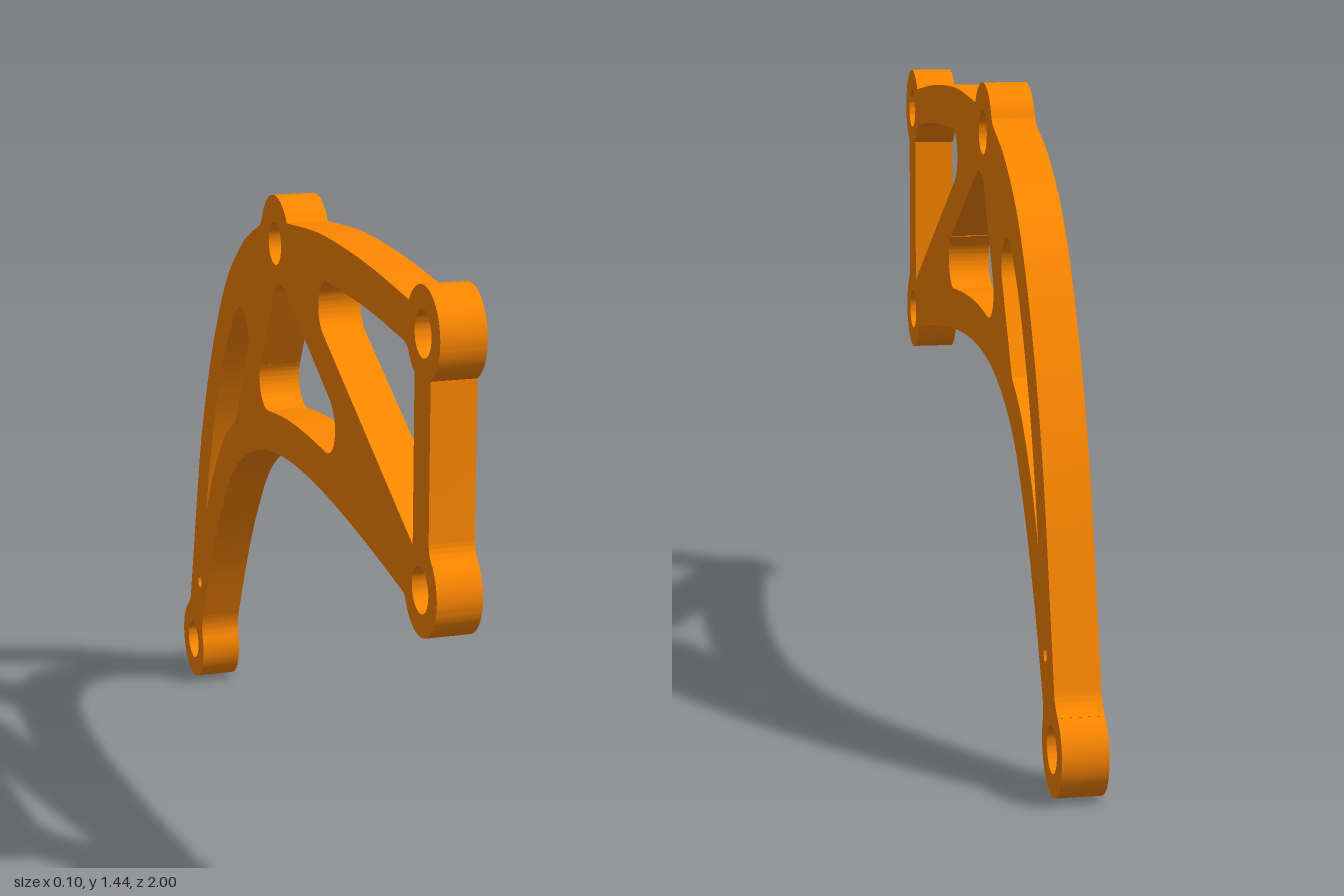
import * as THREE from 'three';
import { toCreasedNormals } from 'three/addons/utils/BufferGeometryUtils.js';

const THICKNESS = 0.1;
const SEGMENTS = 20;

// Profile plane: first coordinate runs towards the back (-z), second is height
const bosses = {
  frontTop: { c: [-0.9, 1.326], r: 0.1 },
  frontBottom: { c: [-0.9, 0.788], r: 0.1 },
  crown: { c: [0.12, 1.33], r: 0.114 },
  foot: { c: [0.9, 0.1], r: 0.1 },
};

// Arc around a centre, from the direction of one point to that of another
function arc(path, { c, r }, from, to, clockwise = true) {
  const angle = (p) => Math.atan2(p[1] - c[1], p[0] - c[0]);
  path.absarc(c[0], c[1], r, angle(from), angle(to), clockwise);
}

// Smooth curve continuing through the given points
const through = (path, ...pts) => path.splineThru(pts.map((p) => new THREE.Vector2(...p)));

function roundHole([u, y], r) {
  const hole = new THREE.Path();
  hole.absarc(u, y, r, 0, Math.PI * 2, true);
  return hole;
}

function outline() {
  const s = new THREE.Path();
  // Front strut and upper front boss
  s.moveTo(-0.948, 0.905);
  s.lineTo(-0.948, 1.238);
  arc(s, bosses.frontTop, [-0.948, 1.238], [-0.815, 1.379]);
  // Upper beam, crown boss and outer sweep of the rear leg
  through(s, [-0.6, 1.4], [-0.4, 1.411], [-0.2, 1.412], [0.025, 1.394]);
  arc(s, bosses.crown, [0.03, 1.4], [0.222, 1.382]);
  s.quadraticCurveTo(0.23, 1.36, 0.25, 1.351);
  through(s, [0.395, 1.282], [0.55, 1.152], [0.692, 0.932], [0.803, 0.67], [0.882, 0.38], [0.92, 0.23]);
  // Foot boss with fillets
  s.quadraticCurveTo(0.927, 0.203, 0.955, 0.184);
  arc(s, bosses.foot, [0.955, 0.184], [0.808, 0.138]);
  s.quadraticCurveTo(0.815, 0.165, 0.8, 0.198);
  // Underside arch and lower front boss
  through(s, [0.715, 0.37], [0.61, 0.54], [0.48, 0.688], [0.29, 0.786], [0.07, 0.827],
    [-0.19, 0.828], [-0.5, 0.798], [-0.805, 0.752]);
  arc(s, bosses.frontBottom, [-0.813, 0.738], [-0.965, 0.864]);
  s.quadraticCurveTo(-0.948, 0.88, -0.948, 0.905);
  return s;
}

function frontWindow() {
  const p = new THREE.Path();
  p.moveTo(-0.853, 0.872);
  p.lineTo(-0.853, 1.238);
  arc(p, bosses.frontTop, [-0.853, 1.238], [-0.815, 1.273], false);
  p.quadraticCurveTo(-0.805, 1.286, -0.785, 1.289);
  through(p, [-0.55, 1.308], [-0.28, 1.314]);
  arc(p, { c: [-0.28, 1.248], r: 0.066 }, [-0.28, 1.314], [-0.248, 1.19]);
  p.closePath();
  return p;
}

function middleWindow() {
  const p = new THREE.Path();
  p.moveTo(-0.305, 1.047);
  p.lineTo(0.043, 1.232);
  arc(p, { c: [0.075, 1.176], r: 0.065 }, [0.043, 1.232], [0.132, 1.208]);
  p.lineTo(0.242, 1.012);
  arc(p, { c: [0.187, 0.977], r: 0.065 }, [0.242, 1.012], [0.18, 0.912]);
  through(p, [0.05, 0.926], [-0.1, 0.929], [-0.272, 0.922]);
  arc(p, { c: [-0.27, 0.988], r: 0.067 }, [-0.272, 0.922], [-0.305, 1.047]);
  return p;
}

function rearWindow() {
  const p = new THREE.Path();
  p.moveTo(0.352, 1.018);
  arc(p, { c: [0.412, 1.051], r: 0.068 }, [0.352, 1.018], [0.46, 1.098]);
  through(p, [0.555, 0.983], [0.65, 0.807], [0.715, 0.639], [0.755, 0.5]);
  through(p, [0.69, 0.612], [0.595, 0.727], [0.53, 0.78], [0.468, 0.816]);
  p.closePath();
  return p;
}

export function createModel() {
  const group = new THREE.Group();
  group.name = 'bracket';

  // Counter-clockwise outline, so walls of the outline and the holes face outwards
  const shape = new THREE.Shape(outline().getPoints(SEGMENTS).reverse());
  shape.holes.push(
    frontWindow(), middleWindow(), rearWindow(),
    ...Object.values(bosses).map((b) => roundHole(b.c, 0.05)),
    roundHole([0.829, 0.287], 0.016), // small pin hole
  );

  // Extrude across the width, then turn the profile into the side plane
  const geometry = new THREE.ExtrudeGeometry(shape, {
    depth: THICKNESS, bevelEnabled: false, curveSegments: SEGMENTS,
  });
  geometry.translate(0, 0, -THICKNESS / 2);
  geometry.rotateY(Math.PI / 2);

  const plate = new THREE.Mesh(
    toCreasedNormals(geometry, 0.4),
    new THREE.MeshStandardMaterial({ color: 0xff8800 }),
  );
  plate.name = 'armPlate';
  group.add(plate);
  return group;
}
